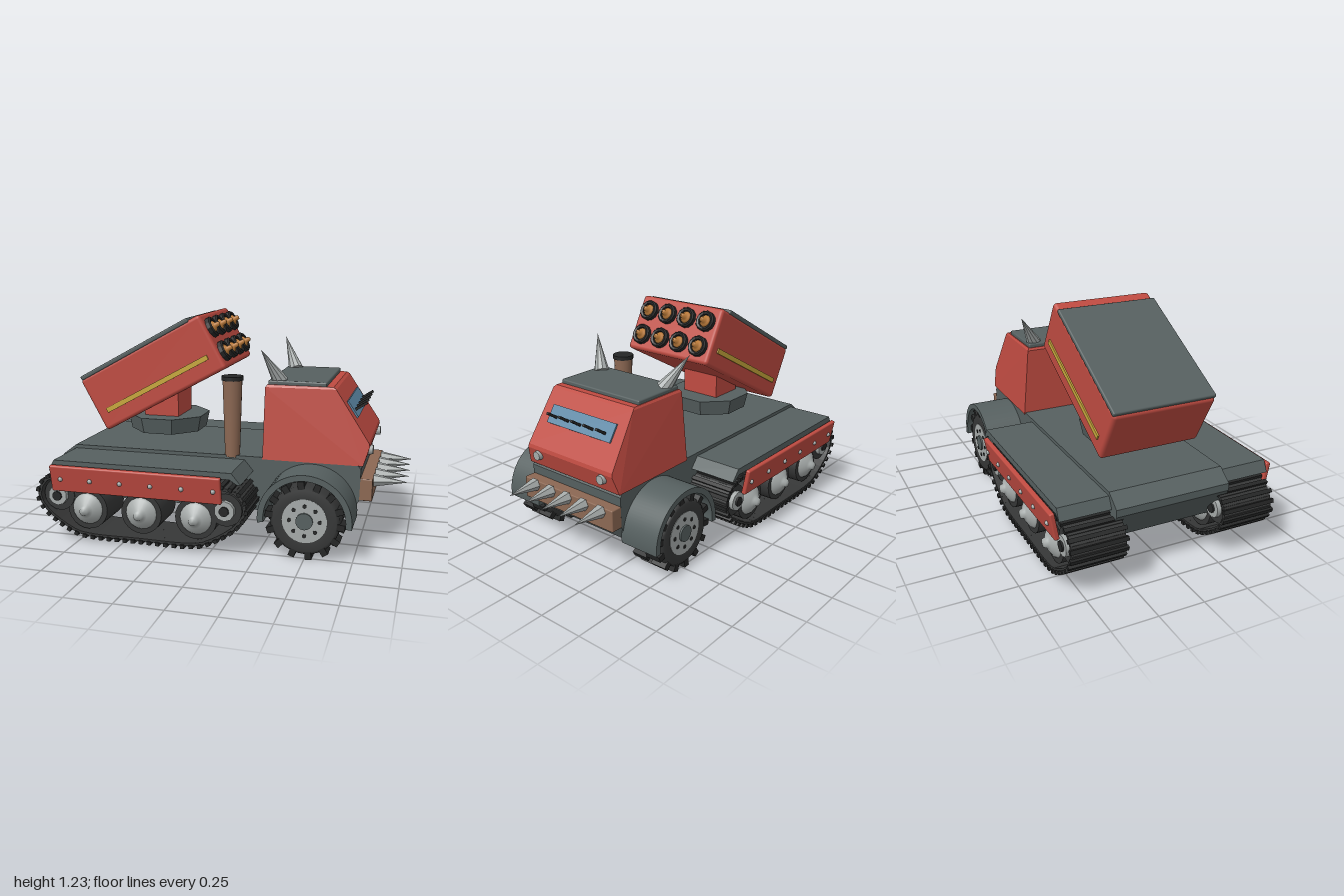
import * as THREE from 'three';
import { RoundedBoxGeometry } from 'three/addons/geometries/RoundedBoxGeometry.js';
import { ConvexGeometry } from 'three/addons/geometries/ConvexGeometry.js';
import { toCreasedNormals } from 'three/addons/utils/BufferGeometryUtils.js';

const paint = (name, color) => {
  const m = new THREE.MeshStandardMaterial({ color });
  m.name = name;
  return m;
};
const red = paint('red', 0xbf4b41), grey = paint('armourGrey', 0x566060), black = paint('black', 0x252626),
  rubber = paint('rubber', 0x363737), steel = paint('steel', 0xa6abaa), brown = paint('brown', 0x8c6853),
  blue = paint('glassBlue', 0x5d88a6), yellow = paint('yellow', 0xc8a83c), orange = paint('orange', 0xbd7c3a);

const V = (x, y, z) => new THREE.Vector3(x, y, z);
const box = (x, y, z) => new THREE.BoxGeometry(x, y, z);
const rounded = (x, y, z, r) => new RoundedBoxGeometry(x, y, z, 2, r);
const cyl = (r1, r2, h, n = 20) => new THREE.CylinderGeometry(r1, r2, h, n);
const cylZ = (r, h, n = 24) => cyl(r, r, h, n).rotateX(Math.PI / 2);
const cylX = (r1, r2, h, n = 14) => cyl(r1, r2, h, n).rotateZ(-Math.PI / 2);
const flat = (g) => {
  g = g.toNonIndexed();
  g.computeVertexNormals();
  return g;
};

function add(parent, name, geo, mat, x = 0, y = 0, z = 0) {
  const m = new THREE.Mesh(geo, mat);
  m.name = name;
  m.position.set(x, y, z);
  parent.add(m);
  return m;
}

function group(parent, name, x = 0, y = 0, z = 0) {
  const g = new THREE.Group();
  g.name = name;
  g.position.set(x, y, z);
  parent.add(g);
  return g;
}

// Cone standing on base and pointing at tip
function spike(parent, name, base, tip, r, sides) {
  const dir = tip.clone().sub(base), len = dir.length();
  const g = flat(new THREE.ConeGeometry(r, len, sides).translate(0, len / 2, 0));
  const m = add(parent, name, g, steel, base.x, base.y, base.z);
  m.quaternion.setFromUnitVectors(V(0, 1, 0), dir.normalize());
}

// Side profile extruded across z, centred on zc
function slab(points, depth, zc = 0) {
  const s = new THREE.Shape(points.map(([x, y]) => new THREE.Vector2(x, y)));
  return new THREE.ExtrudeGeometry(s, { depth, bevelEnabled: false }).translate(0, 0, zc - depth / 2);
}

function buildTrack(model, s) {
  const track = group(model, 'track', 0, 0, s * 0.425);
  const pts = [[-0.87, 0.36], [-0.945, 0.325], [-0.975, 0.25], [-0.935, 0.17], [-0.77, 0.06], [-0.68, 0.042],
    [-0.4, 0.04], [-0.1, 0.042], [-0.02, 0.06], [0.145, 0.165], [0.192, 0.25], [0.165, 0.325], [0.085, 0.36], [-0.4, 0.365]];
  const path = new THREE.CatmullRomCurve3(pts.map(([x, y]) => V(x, y, 0)), true, 'centripetal');
  const n = 56, step = path.getLength() / n;
  for (let i = 0; i < n; i++) {
    const p = path.getPointAt(i / n), t = path.getTangentAt(i / n);
    const link = group(track, 'trackLink', p.x, p.y, 0);
    link.rotation.z = Math.atan2(t.y, t.x);
    add(link, 'trackPad', box(step * 1.05, 0.016, 0.29), rubber);
    add(link, 'trackLug', box(0.022, 0.02, 0.31), black, 0, -0.012);
  }
  // Road wheels with domed hubs on both faces
  const hub = new THREE.LatheGeometry([[0.088, 0], [0.08, 0.012], [0.045, 0.035], [0.028, 0.042], [0.022, 0.06], [0, 0.064]]
    .map(([r, y]) => new THREE.Vector2(r, y)), 20).rotateX(Math.PI / 2);
  for (const x of [-0.705, -0.39, -0.08]) {
    add(track, 'roadWheel', cylZ(0.116, 0.23), rubber, x, 0.18);
    add(track, 'wheelHub', hub, steel, x, 0.18, 0.115);
    add(track, 'wheelHub', hub, steel, x, 0.18, -0.115).rotation.y = Math.PI;
  }
  // End sprockets
  for (const [x, y] of [[-0.87, 0.25], [0.085, 0.243]]) {
    add(track, 'sprocket', cylZ(0.09, 0.24), rubber, x, y);
    add(track, 'sprocketDisc', cylZ(0.055, 0.29, 10), steel, x, y);
    add(track, 'sprocketHub', cylZ(0.027, 0.31, 10), black, x, y);
  }
  // Fender over the track
  add(model, 'trackFender', slab([[-0.9, 0.4], [-0.87, 0.46], [0.13, 0.46], [0.18, 0.4], [0.16, 0.4], [0.12, 0.425], [-0.86, 0.425]], 0.29, s * 0.45), grey);
  // Leaning side skirt with bolts
  const skirt = group(model, 'sideSkirt', -0.4, 0.365, s * 0.608);
  skirt.rotation.x = s * 0.18;
  add(skirt, 'skirtPanel', rounded(0.96, 0.15, 0.027, 0.008), red);
  for (let i = 0; i < 6; i++) add(skirt, 'skirtBolt', new THREE.SphereGeometry(0.013, 10, 8), steel, -0.42 + i * 0.172, 0, s * 0.014);
}

function buildFrontWheel(model, s) {
  const wheel = group(model, 'frontWheel', 0.5, 0.212, s * 0.425);
  const prof = [[0.11, -0.095], [0.165, -0.1], [0.183, -0.085], [0.187, 0], [0.183, 0.085], [0.165, 0.1], [0.11, 0.095]];
  add(wheel, 'tyre', new THREE.LatheGeometry(prof.map(([r, y]) => new THREE.Vector2(r, y)), 32).rotateX(Math.PI / 2), rubber);
  for (let i = 0; i < 28; i++) {
    const a = (i + 0.5) / 28 * Math.PI * 2, row = i % 2 ? 1 : -1;
    const lug = add(wheel, 'tyreLug', box(0.05, 0.034, 0.092), black, 0.185 * Math.cos(a), 0.185 * Math.sin(a), row * 0.05);
    lug.rotation.z = a;
  }
  add(wheel, 'rim', cylZ(0.118, 0.196, 28), steel);
  add(wheel, 'rimHub', cylZ(0.045, 0.215, 16), grey);
  for (let i = 0; i < 8; i++) {
    const a = i / 8 * Math.PI * 2;
    add(wheel, 'rimHole', cylZ(0.011, 0.202, 10), black, 0.08 * Math.cos(a), 0.08 * Math.sin(a));
  }
  add(wheel, 'axle', cylZ(0.04, 0.2, 12), grey, 0, 0, -s * 0.15);
  // Round arch above the wheel
  const arch = new THREE.Shape();
  arch.absarc(0.5, 0.215, 0.247, -0.1, Math.PI + 0.1, false);
  arch.absarc(0.5, 0.215, 0.215, Math.PI + 0.1, -0.1, true);
  const g = new THREE.ExtrudeGeometry(arch, { depth: 0.23, bevelEnabled: false, curveSegments: 24 }).translate(0, 0, s * 0.425 - 0.115);
  add(model, 'wheelArch', toCreasedNormals(g, 0.6), grey);
}

function buildCab(model) {
  // Cab shell: side profile points with their half widths
  const prof = [[0.23, 0.47, 0.325], [0.235, 0.86, 0.29], [0.245, 0.873, 0.28], [0.6, 0.873, 0.278], [0.615, 0.862, 0.285],
    [0.795, 0.59, 0.302], [0.8, 0.57, 0.304], [0.77, 0.47, 0.325]];
  add(model, 'cab', new ConvexGeometry(prof.flatMap(([x, y, z]) => [V(x, y, z), V(x, y, -z)])), red);
  add(model, 'roofPlate', rounded(0.315, 0.028, 0.55, 0.008), grey, 0.405, 0.881);
  // Sloped windscreen with vertical studs
  const screen = group(model, 'windscreen', 0.694, 0.748, 0);
  screen.rotation.z = 0.585;
  add(screen, 'glass', box(0.009, 0.102, 0.452), blue, 0.003);
  for (let i = -2; i <= 2; i++) add(screen, 'windscreenStud', box(0.08, 0.014, 0.016), black, 0.038, -0.012, i * 0.087);
  for (const s of [1, -1]) {
    add(model, 'headlight', cylX(0.024, 0.028, 0.025, 16), steel, 0.8, 0.54, s * 0.23);
    spike(model, 'roofHorn', V(0.305, 0.885, s * 0.225), V(0.22, 1.065, s * 0.33), 0.043, 10);
  }
  // Spiked bumper
  add(model, 'bumper', rounded(0.07, 0.12, 0.64, 0.006), brown, 0.787, 0.34);
  for (let i = -2; i <= 2; i++) {
    spike(model, 'bumperSpike', V(0.82, 0.376, i * 0.12), V(1, 0.376, i * 0.12), 0.036, 6);
  }
}

function buildLauncher(model) {
  add(model, 'turretBase', flat(cyl(0.24, 0.22, 0.09, 8).rotateY(Math.PI / 8)), grey, -0.413, 0.588);
  add(model, 'turretMount', box(0.205, 0.2, 0.24), red, -0.418, 0.72);
  const pod = group(model, 'launcher', -0.414, 0.9, 0);
  pod.rotation.z = 0.5;
  add(pod, 'launcherBox', rounded(0.81, 0.325, 0.57, 0.02), red);
  add(pod, 'launcherLid', rounded(0.73, 0.025, 0.574, 0.008), grey, -0.03, 0.166);
  for (const s of [1, -1]) add(pod, 'sideStripe', box(0.68, 0.028, 0.009), yellow, 0, -0.062, s * 0.2885);
  // Two rows of four rocket tubes
  const nose = new THREE.LatheGeometry([[0.034, 0], [0.034, 0.012], [0.026, 0.024], [0.015, 0.03], [0.013, 0.05], [0, 0.056]]
    .map(([r, y]) => new THREE.Vector2(r, y)), 14).rotateZ(-Math.PI / 2);
  const tubeProf = [[0.038, -0.01], [0.038, 0.026], [0.05, 0.03], [0.058, 0.022], [0.058, -0.01]].map(([r, y]) => new THREE.Vector2(r, y));
  const tube = flat(new THREE.LatheGeometry(tubeProf.reverse(), 12).rotateZ(-Math.PI / 2));
  // Profile runs upward on the outside so faces point out
  for (const y of [-0.072, 0.072]) for (let i = -1.5; i < 2; i++) {
    const z = i * 0.135;
    add(pod, 'rocketTube', tube, black, 0.405, y, z);
    add(pod, 'tubeFloor', cylX(0.04, 0.04, 0.012), black, 0.404, y, z);
    add(pod, 'rocketNose', nose, orange, 0.41, y, z);
  }
}

export function createModel() {
  // Outward-facing surfaces for lathed parts whichever way their profile runs
  for (const m of [black, rubber, steel, orange]) m.side = THREE.DoubleSide;
  const model = new THREE.Group();
  model.name = 'rocketTruck';
  add(model, 'hull', slab([[-0.8, 0.18], [0.7, 0.18], [0.755, 0.28], [0.76, 0.45], [0.735, 0.48], [-0.87, 0.48], [-0.95, 0.42], [-0.95, 0.38]], 0.64), grey);
  for (const s of [1, -1]) {
    buildTrack(model, s);
    buildFrontWheel(model, s);
  }
  buildCab(model);
  buildLauncher(model);
  // Exhaust stack
  add(model, 'exhaustPipe', cyl(0.054, 0.041, 0.43, 16), brown, 0.055, 0.685, 0.29);
  add(model, 'exhaustCap', cyl(0.06, 0.06, 0.022, 16), black, 0.055, 0.902, 0.29);
  return model;
}
